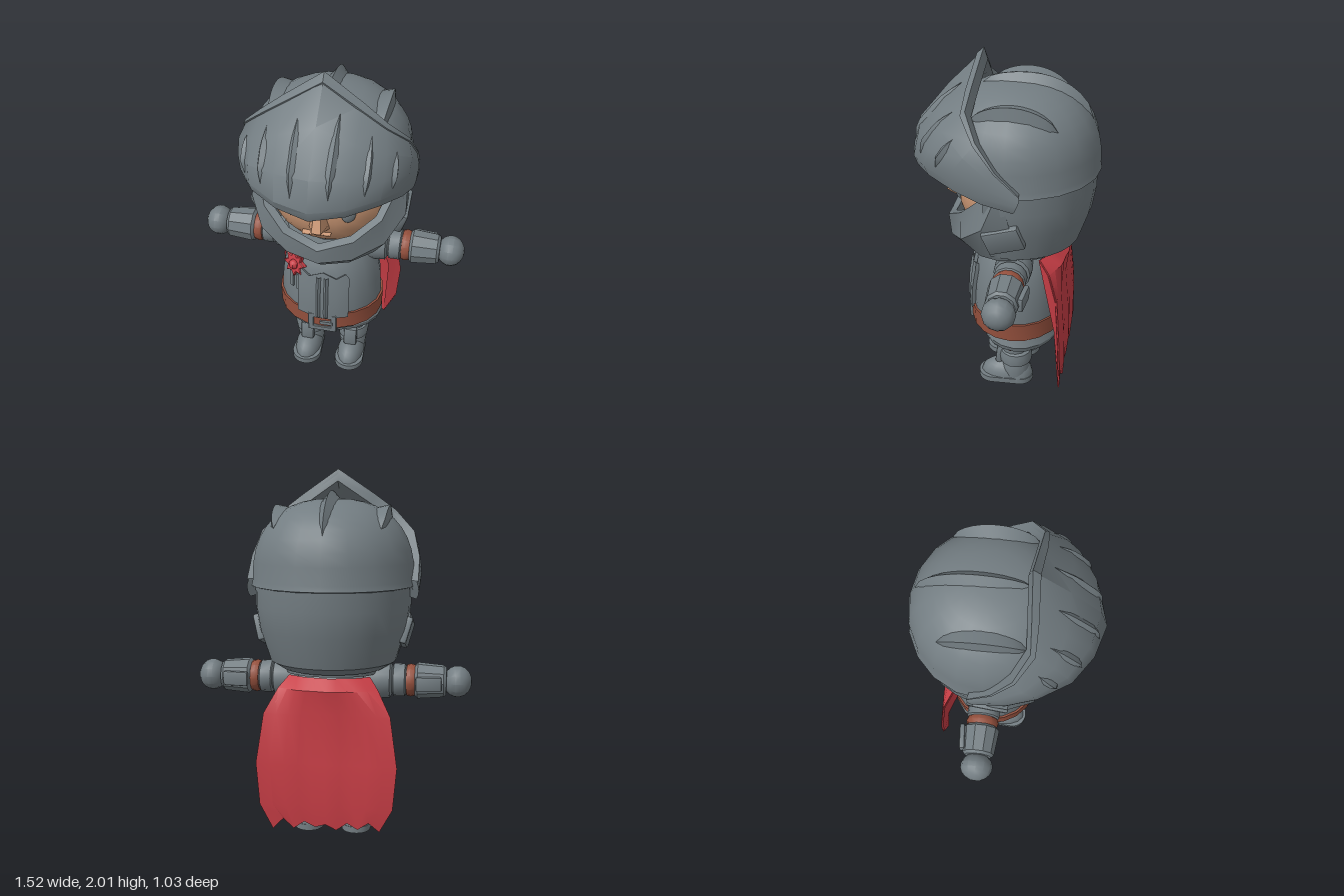
import * as THREE from 'three';
import { toCreasedNormals } from 'three/addons/utils/BufferGeometryUtils.js';
import { RoundedBoxGeometry } from 'three/addons/geometries/RoundedBoxGeometry.js';

const paint = (name, color, side = THREE.DoubleSide) => {
  const m = new THREE.MeshStandardMaterial({ color, side });
  m.name = name;
  return m;
};
const steel = paint('steel', 0x737d82), leather = paint('leather', 0x94503d);
const cloth = paint('red cloth', 0xc63d45), skin = paint('skin', 0xcb9774);

export function createModel() {
  const model = new THREE.Group();
  model.name = 'knight';

  const add = (name, geo, mat, pos = [0, 0, 0], rot = [0, 0, 0], scale = [1, 1, 1], parent = model) => {
    const mesh = new THREE.Mesh(toCreasedNormals(geo, 0.6), mat);
    mesh.name = name;
    mesh.position.set(...pos);
    mesh.rotation.set(...rot);
    mesh.scale.set(...scale);
    parent.add(mesh);
    return mesh;
  };
  const lathe = (pts, seg = 20, start = 0, len = Math.PI * 2) =>
    new THREE.LatheGeometry(pts.map(p => new THREE.Vector2(...p)), seg, start, len);

  // Surface through columns of points, columns running to +x and points running up
  const grid = cols => {
    const n = cols[0].length, idx = [];
    for (let i = 0; i < cols.length - 1; i++)
      for (let j = 0; j < n - 1; j++) {
        const a = i * n + j, b = a + n;
        idx.push(a, b, b + 1, a, b + 1, a + 1);
      }
    const g = new THREE.BufferGeometry();
    g.setAttribute('position', new THREE.Float32BufferAttribute(cols.flat(2), 3));
    g.setIndex(idx);
    return g;
  };
  const mirrorCols = half => [...half.slice(1).reverse().map(c => c.map(([x, y, z]) => [-x, y, z])), ...half];
  const push = (p, c, k) => p.map((v, i) => c[i] + (v - c[i]) * k);
  // Thick plate: outer skin, inner skin and closed ends
  const shell = (cols, centre, k) => {
    const loops = cols.map(c => [...c, ...c.map(p => push(p, centre, k)).reverse(), c[0]]);
    const cap = l => l.map(() => [0, 1, 2].map(i => l.reduce((s, p) => s + p[i], 0) / l.length));
    return grid([cap(loops[0]), ...loops, cap(loops[loops.length - 1])]);
  };
  // Pointed ridge: fn(s, t) gives a point, s from -1 to 1 across and t from 0 to 1 along
  const ridge = (fn, n = 8) => grid([-1, 0, 1].map(s =>
    Array.from({ length: n + 1 }, (_, j) => fn(s, j / n))));
  const interp = (pts, y) => {
    const i = Math.max(1, pts.findIndex(p => p[1] >= y));
    const [r0, y0] = pts[i - 1], [r1, y1] = pts[i];
    return r0 + (r1 - r0) * (y - y0) / (y1 - y0);
  };

  // Helmet dome and its ridges
  const C = [0, 1.42, -0.07], R = 0.44, H = 0.43, N = 2.4;
  const domeY = (x, z) => C[1] + H * Math.max(0, 1 - (Math.hypot(x, z - C[2]) / R) ** N) ** (1 / N);
  const dome = [[0.41, 1.38], [0.447, 1.39]];
  for (let i = 0; i <= 10; i++) {
    const a = i / 10 * Math.PI / 2;
    dome.push([R * Math.cos(a) ** (2 / N), C[1] + H * Math.sin(a) ** (2 / N)]);
  }
  dome[dome.length - 1][0] = 0;
  add('helmetDome', lathe(dome), steel, [0, 0, C[2]]);
  for (const [x0, w, z0, z1, h] of [[0, 0.04, 0.12, -0.46, 0.1], [0.28, 0.04, 0.13, -0.31, 0.1], [-0.28, 0.04, 0.13, -0.31, 0.1]])
    add('domeRidge', ridge((s, t) => {
      const k = Math.sin(Math.PI * t) ** 0.5, z = z0 + (z1 - z0) * t, x = x0 + s * w * k;
      return push([x, domeY(x, z), z], C, s ? 0.995 : 1 + h * k);
    }, 12), steel);

  // Back of the helmet, open at the front
  add('helmetBack', lathe([[0.29, 0.94], [0.35, 0.98], [0.405, 1.15], [0.425, 1.28], [0.425, 1.42]],
    16, 1.3, Math.PI * 2 - 2.6), steel, [0, 0, C[2]]);

  // Chin guard around the face opening
  const chin = mirrorCols([
    [[0, 0.88, 0.2], [0, 0.97, 0.3], [0, 1.06, 0.31]],
    [[0.15, 0.9, 0.17], [0.18, 1, 0.27], [0.19, 1.13, 0.28]],
    [[0.27, 0.93, 0.09], [0.34, 1.07, 0.18], [0.32, 1.22, 0.18]],
    [[0.33, 0.95, -0.02], [0.43, 1.19, 0.05], [0.375, 1.34, 0.06]],
    [[0.34, 0.97, -0.12], [0.425, 1.2, -0.1], [0.42, 1.42, -0.04]]]);
  add('chinGuard', shell(chin, [0, 1.25, -0.07], 0.89), steel);
  for (const s of [-1, 1])
    add('cheekPlate', new RoundedBoxGeometry(0.05, 0.15, 0.2, 1, 0.012), steel, [s * 0.4, 1.13, -0.06], [0.3, 0, -s * 0.27]);

  // Pointed visor with slit ridges
  const visor = mirrorCols([
    [[0, 1.39, 0.49], [0, 1.45, 0.51], [0, 1.61, 0.465], [0, 1.81, 0.3], [0, 2, 0.11]],
    [[0.18, 1.41, 0.44], [0.18, 1.46, 0.46], [0.185, 1.6, 0.425], [0.19, 1.74, 0.3], [0.2, 1.865, 0.13]],
    [[0.33, 1.43, 0.34], [0.335, 1.48, 0.36], [0.345, 1.57, 0.33], [0.34, 1.68, 0.26], [0.315, 1.78, 0.14]],
    [[0.42, 1.4, 0.19], [0.43, 1.45, 0.2], [0.445, 1.53, 0.18], [0.45, 1.6, 0.13], [0.42, 1.67, 0.07]],
    [[0.46, 1.36, 0.04], [0.47, 1.4, 0.04], [0.475, 1.45, 0.02], [0.472, 1.5, 0], [0.455, 1.54, -0.03]],
    [[0.455, 1.32, -0.12], [0.465, 1.34, -0.13], [0.468, 1.365, -0.14], [0.465, 1.39, -0.15], [0.455, 1.42, -0.15]]]);
  const V = [0, 1.45, -0.05];
  add('visor', shell(visor, V, 0.9), steel);
  // Raised border along the top edge
  add('visorRim', shell(visor.map(c => [c[3].map((v, i) => v + (c[4][i] - v) * 0.8), c[4]].map(p => push(p, V, 1.02))), V, 0.95), steel);
  const onVisor = (u, v) => {
    const i = Math.min(Math.floor(u), visor.length - 2), j = Math.min(Math.floor(v), 3), a = u - i, b = v - j;
    return [0, 1, 2].map(k =>
      (visor[i][j][k] * (1 - a) + visor[i + 1][j][k] * a) * (1 - b) +
      (visor[i][j + 1][k] * (1 - a) + visor[i + 1][j + 1][k] * a) * b);
  };
  for (const s of [-1, 1])
    for (const [o, v0, v1] of [[0.52, 1.3, 3.5], [1.5, 1.35, 3.4], [2.4, 1.3, 3.2]])
      add('visorSlit', ridge((a, t) => {
        const k = Math.min(1, 3 * t, 3 * (1 - t));
        return push(onVisor(5 + s * o + a * 0.13 * k, v0 + (v1 - v0) * t), V, a ? 0.995 : 1 + 0.035 * k);
      }), steel);

  // Face
  add('head', new THREE.SphereGeometry(0.35, 24, 16), skin, [0, 1.27, -0.08], [0, 0, 0], [1.02, 0.95, 0.98]);
  add('nose', grid([
    [[-0.06, 1.17, 0.23], [-0.05, 1.2, 0.25], [-0.03, 1.34, 0.23]],
    [[-0.025, 1.16, 0.27], [-0.025, 1.19, 0.33], [-0.016, 1.34, 0.27]],
    [[0.025, 1.16, 0.27], [0.025, 1.19, 0.33], [0.016, 1.34, 0.27]],
    [[0.06, 1.17, 0.23], [0.05, 1.2, 0.25], [0.03, 1.34, 0.23]]]), skin);
  add('mouth', new RoundedBoxGeometry(0.16, 0.018, 0.03, 2, 0.008), skin, [-0.02, 1.12, 0.225], [0.4, 0, 0.06]);
  for (const s of [-1, 1]) {
    add('eye', new THREE.SphereGeometry(1, 14, 10), steel, [s * 0.153, 1.27, 0.228], [0, s * 0.45, 0], [0.04, 0.052, 0.018]);
    add('eyebrow', new RoundedBoxGeometry(0.17, 0.06, 0.06, 2, 0.02), skin, [s * 0.165, 1.365, 0.22], [0, s * 0.45, s * 0.08]);
  }

  // Torso, skirt, belt and collar
  const body = [[0.27, 0.36], [0.295, 0.42], [0.3, 0.52], [0.292, 0.65], [0.27, 0.78], [0.225, 0.88], [0.16, 0.95]];
  const oval = [1, 1, 0.88], mid = [0, 0, -0.075];
  add('torso', lathe(body), steel, mid, [0, 0, 0], oval);
  add('skirt', lathe([[0, 0.33], [0.26, 0.31], [0.3, 0.32], [0.31, 0.35], [0.285, 0.42]]), steel, [0, 0, -0.1], [0, 0, 0], [1, 1, 0.76]);
  add('belt', lathe([[0.29, 0.4], [0.308, 0.4], [0.312, 0.51], [0.29, 0.51]]), leather, mid, [0, 0, 0], oval);
  add('collar', lathe([[0.2, 0.9], [0.27, 0.91], [0.285, 0.97], [0.27, 1.01], [0.2, 1]], 14), steel, [0, 0, -0.14], [0.06, 0, 0], [0.98, 1, 0.95]);
  const torsoZ = (x, y) => mid[2] + 0.88 * Math.sqrt(interp(body, y) ** 2 - x * x);

  // Breastplate with a double centre ridge
  const plate = [[0, 0.8], [0.08, 0.765], [0.13, 0.79], [0.15, 0.76]].map(([x, top]) =>
    [0, 0.25, 0.5, 0.75, 1].map(t => { const y = 0.49 + (top - 0.49) * t; return [x, y, torsoZ(x, y) + 0.022]; }));
  add('breastplate', shell(mirrorCols(plate), [0, 0.62, -0.07], 0.9), steel);
  for (const s of [-1, 1])
    add('plateRidge', ridge((a, t) => {
      const y = 0.49 + 0.28 * t, x = s * 0.022 + a * 0.013;
      return [x, y, torsoZ(x, y) + (a ? 0.02 : 0.034)];
    }), steel);

  // Belt buckle
  const frame = new THREE.Shape([[-0.08, -0.06], [0.08, -0.06], [0.08, 0.06], [-0.08, 0.06]].map(p => new THREE.Vector2(...p)));
  frame.holes.push(new THREE.Path([[-0.055, -0.035], [-0.055, 0.035], [0.055, 0.035], [0.055, -0.035]].map(p => new THREE.Vector2(...p))));
  add('buckleFrame', new THREE.ExtrudeGeometry(frame, { depth: 0.03, bevelSize: 0.004, bevelThickness: 0.004, bevelSegments: 1 }), steel, [0, 0.44, 0.17]);
  add('bucklePin', new THREE.BoxGeometry(0.075, 0.022, 0.025), steel, [0.025, 0.44, 0.195]);

  // Star flower and its ribbons on the chest
  const star = new THREE.Shape(Array.from({ length: 16 }, (_, i) => {
    const r = i % 2 ? 0.045 : 0.072, a = i * Math.PI / 8;
    return new THREE.Vector2(r * Math.cos(a), r * Math.sin(a));
  }));
  add('flower', new THREE.ExtrudeGeometry(star, { depth: 0.02, bevelSize: 0.005, bevelThickness: 0.005, bevelSegments: 1 }), cloth, [-0.17, 0.79, 0.105], [-0.25, -0.5, 0]);
  add('flowerHeart', new THREE.SphereGeometry(0.03, 8, 6), cloth, [-0.18, 0.795, 0.13]);
  for (const x of [-0.195, -0.155])
    add('ribbon', new THREE.BoxGeometry(0.026, 0.1, 0.01), steel, [x, 0.68, torsoZ(x, 0.68) + 0.006], [-0.1, -0.6, 0]);

  // Cape with a ragged hem
  const hem = [0.09, 0.14, 0.1, 0.13, 0.09, 0.12, 0.1, 0.13, 0.09, 0.14, 0.08];
  const rows = [[0.29, 0, -0.37], [0.36, 0.22, -0.378], [0.38, 0.45, -0.37], [0.34, 0.72, -0.345], [0.27, 0.85, -0.29], [0.22, 0.91, -0.23]];
  const cape = hem.map((h, i) => rows.map(([w, y, z], j) => {
    const s = i / 5 - 1;
    return [s * w, j ? y : h, z - (j > 3 ? 0.07 * (1 - s * s) : 0) + 0.005 * Math.cos(i * 2)];
  }));
  add('cape', shell(cape, [0, 0.5, 0.3], 0.985), cloth);

  // Arms and legs
  for (const s of [-1, 1]) {
    const arm = new THREE.Group();
    arm.name = s > 0 ? 'leftArm' : 'rightArm';
    arm.position.set(0, 0.87, -0.09);
    arm.rotation.z = -s * Math.PI / 2;
    model.add(arm);
    const part = (name, pts, mat, seg = 14) => add(name, lathe(pts, seg), mat, [0, 0, 0], [0, 0, 0], [1, 1, 1], arm);
    part('shoulder', [[0, 0.16], [0.095, 0.18], [0.105, 0.25], [0.1, 0.32], [0.078, 0.33], [0.078, 0.45]], steel);
    part('elbowGuard', [[0.07, 0.33], [0.09, 0.34], [0.09, 0.4], [0.07, 0.41]], steel);
    part('armStrap', [[0.06, 0.405], [0.084, 0.41], [0.09, 0.43], [0.084, 0.455], [0.06, 0.46]], leather);
    part('forearm', [[0, 0.45], [0.085, 0.455], [0.1, 0.47], [0.088, 0.61], [0.075, 0.625], [0, 0.63]], steel, 10);
    add('hand', new THREE.SphereGeometry(0.088, 12, 9), steel, [0, 0.685, 0], [0, 0, 0], [1, 0.88, 1.02], arm);
    add('forearmPlate', new RoundedBoxGeometry(0.08, 0.14, 0.03, 1, 0.01), steel, [0, 0.53, -0.1], [0.1, 0, 0], [1, 1, 1], arm);

    const leg = new THREE.Group();
    leg.name = s > 0 ? 'leftLeg' : 'rightLeg';
    leg.position.set(s * 0.135, 0, -0.08);
    model.add(leg);
    const legPart = (name, geo, mat, pos, rot, scale) => add(name, geo, mat, pos, rot, scale, leg);
    legPart('thigh', new THREE.CylinderGeometry(0.08, 0.075, 0.2, 14), steel, [0, 0.28, 0]);
    legPart('legStrap', lathe([[0.06, 0.25], [0.086, 0.252], [0.09, 0.275], [0.086, 0.298], [0.06, 0.3]], 14), leather);
    legPart('bootShaft', lathe([[0.08, 0.04], [0.085, 0.1], [0.078, 0.13], [0.093, 0.14], [0.098, 0.18], [0.09, 0.215], [0.06, 0.23]], 14), steel, [0, 0, -0.005]);
    legPart('kneePlate', new RoundedBoxGeometry(0.08, 0.12, 0.04, 1, 0.012), steel, [0, 0.175, 0.09], [-0.1, 0, 0]);
    legPart('bootUpper', new THREE.SphereGeometry(1, 14, 8, 0, Math.PI * 2, 0, Math.PI / 2), steel, [0, 0.025, 0.06], [0, 0, 0], [0.082, 0.1, 0.145]);
    legPart('heel', new THREE.SphereGeometry(1, 12, 6, 0, Math.PI * 2, 0, Math.PI / 2), steel, [0, 0.02, -0.02], [0, 0, 0], [0.082, 0.12, 0.09]);
    const sole = new THREE.Shape();
    sole.absarc(0, 0.13, 0.088, Math.PI, 0, true);
    sole.absarc(0, -0.03, 0.08, 0, -Math.PI, true);
    legPart('sole', new THREE.ExtrudeGeometry(sole, { depth: 0.035, bevelEnabled: false, curveSegments: 8 }), steel, [0, 0, 0], [-Math.PI / 2, Math.PI, 0].map((v, i) => i ? 0 : Math.PI / 2), [1, 1, -1]);
  }
  return model;
}
